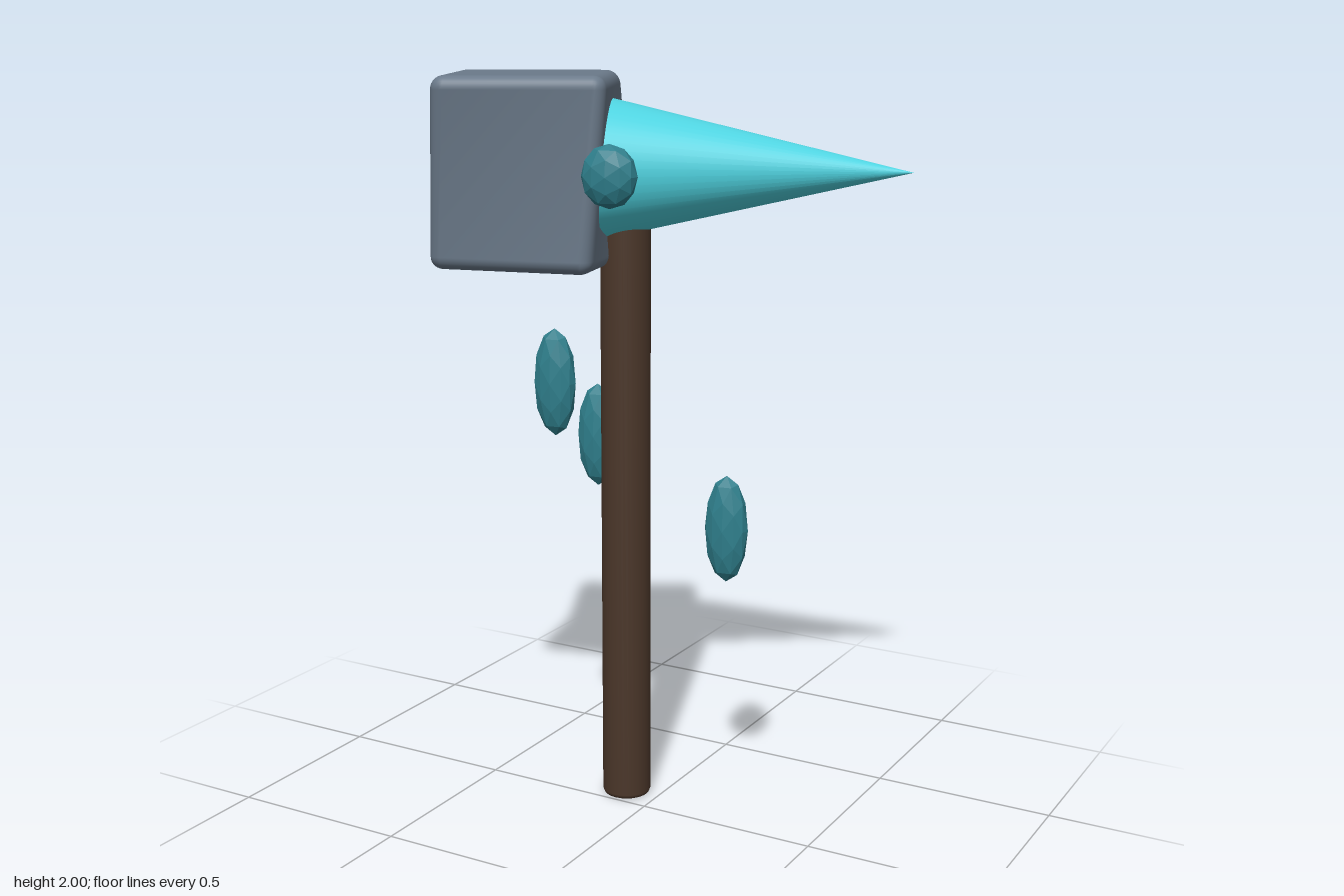
import * as THREE from 'three';
import { RoundedBoxGeometry } from 'three/addons/geometries/RoundedBoxGeometry.js';
import { mergeVertices } from 'three/addons/utils/BufferGeometryUtils.js';

const mat = (color, flatShading = false) =>
  new THREE.MeshStandardMaterial({ color, flatShading });

// Rounded block whose bottom and top are turned by different angles
function twistedBlock() {
  const size = 0.445, height = 0.5, rad = THREE.MathUtils.degToRad;
  const geo = new RoundedBoxGeometry(size, height, size, 4, 0.035);
  const pos = geo.attributes.position;
  for (let i = 0; i < pos.count; i++) {
    const x = pos.getX(i), y = pos.getY(i), z = pos.getZ(i);
    const t = y / height + 0.5;
    const corner = (a, cx, cz) => [
      cx + x * Math.cos(a) + z * Math.sin(a),
      cz - x * Math.sin(a) + z * Math.cos(a),
    ];
    const low = corner(rad(13), -0.338, -0.008);
    const high = corner(rad(26), -0.326, 0.036);
    pos.setXYZ(i,
      THREE.MathUtils.lerp(low[0], high[0], t),
      y + 1.75,
      THREE.MathUtils.lerp(low[1], high[1], t));
  }
  geo.deleteAttribute('normal');
  geo.deleteAttribute('uv');
  const merged = mergeVertices(geo, 1e-4);
  merged.computeVertexNormals();
  return merged;
}

export function createModel() {
  const group = new THREE.Group();
  const add = (name, geo, material, x = 0, y = 0, z = 0) => {
    const mesh = new THREE.Mesh(geo, material);
    mesh.name = name;
    mesh.position.set(x, y, z);
    group.add(mesh);
    return mesh;
  };

  // Wooden shaft with a softly bevelled foot
  const profile = [[0, 0], [0.055, 0], [0.063, 0.004], [0.067, 0.014], [0.067, 1.7], [0, 1.7]]
    .map(([r, y]) => new THREE.Vector2(r, y));
  add('handle', new THREE.LatheGeometry(profile, 32), mat(0x4a3629), -0.095, 0, -0.067);

  // Stone hammer head
  add('hammerHead', twistedBlock(), mat(0x6b7a8a));

  // Spike running from inside the head out to its tip
  const tip = new THREE.Vector3(0.605, 1.755, -0.325);
  const axis = new THREE.Vector3(0.94, 0, -0.34).normalize();
  const length = 0.85;
  const spike = add('spike', new THREE.ConeGeometry(0.196, length, 48), mat(0x4fd3e0));
  spike.quaternion.setFromUnitVectors(new THREE.Vector3(0, 1, 0), axis);
  spike.position.copy(tip).addScaledVector(axis, -length / 2);

  // Faceted crystal shards floating round the shaft
  const gem = new THREE.IcosahedronGeometry(1, 1);
  const gemMaterial = mat(0x2f7f8c, true);
  const shards = [[-0.25, 1.19, 0.043], [-0.25, 1.0, -0.178], [0.213, 0.82, -0.066]];
  for (const [x, y, z] of shards) {
    const shard = add('floatingShard', gem, gemMaterial, x, y, z);
    shard.scale.set(0.06, 0.146, 0.038);
    shard.rotation.y = 0.15;
  }

  // Crystal set into the front of the head
  const stud = add('headCrystal', gem, gemMaterial, -0.017, 1.755, 0.147);
  stud.scale.set(0.074, 0.081, 0.043);
  stud.rotation.y = 0.25;

  return group;
}
